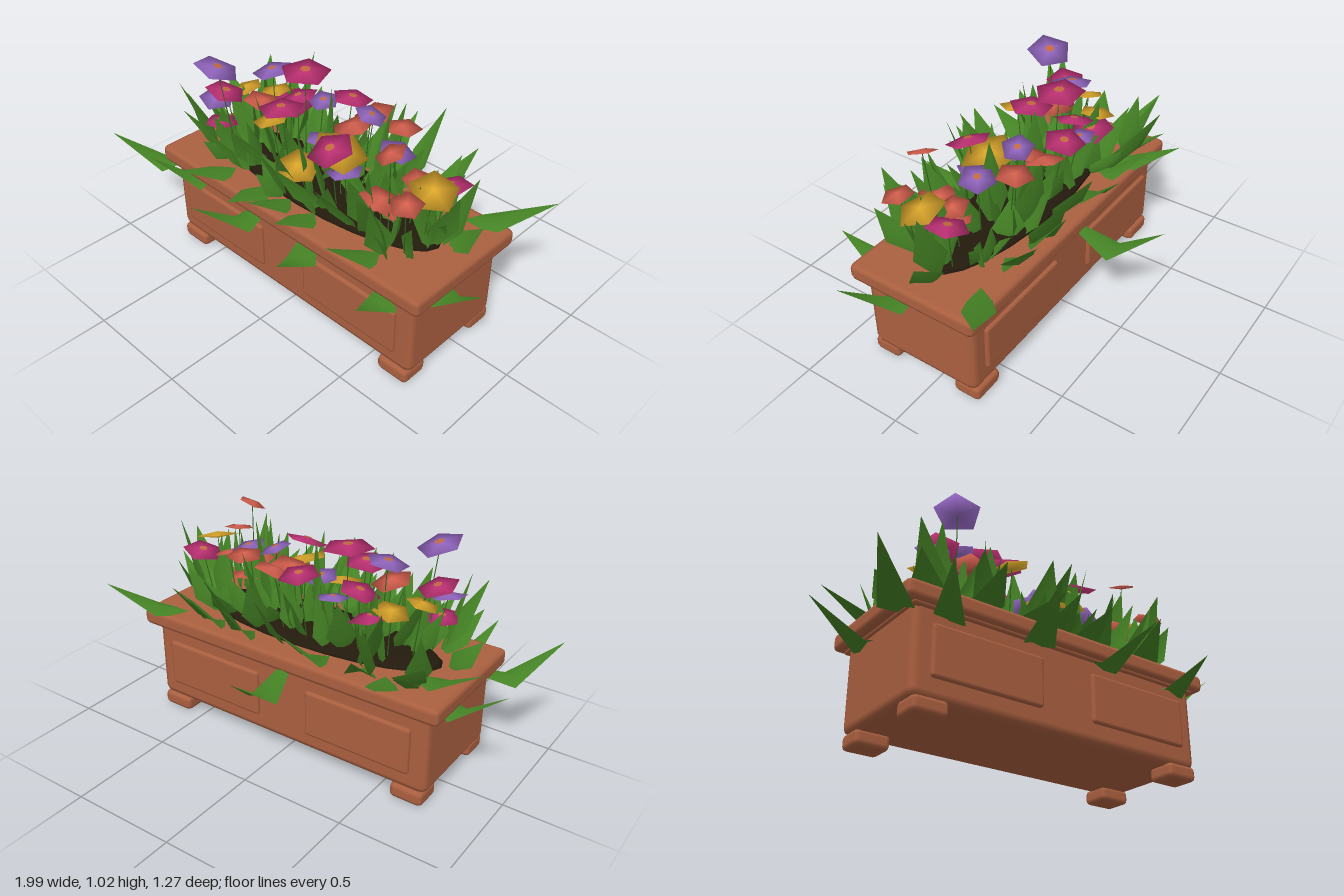
import * as THREE from 'three';
import { RoundedBoxGeometry } from 'three/addons/geometries/RoundedBoxGeometry.js';

const mat = (name, color, side = THREE.FrontSide) => {
  const m = new THREE.MeshStandardMaterial({ color, side });
  m.name = name;
  return m;
};

export function createModel() {
  const model = new THREE.Group();
  model.name = 'flowerPlanter';
  const clay = mat('terracotta', 0xab6040);
  const earth = mat('darkSoil', 0x231a0d);
  const leafMat = mat('leafGreen', 0x478626, THREE.DoubleSide);
  const stemMat = mat('stemGreen', 0x33691d);
  const petals = {
    p: mat('violet', 0x9a6bc9),
    m: mat('magenta', 0xc8347a),
    y: mat('golden', 0xdfa92c),
    c: mat('coral', 0xdb6250),
  };
  const heartMat = mat('flowerHeart', 0xc0693f);

  let seed = 11;
  const rnd = (a = 0, b = 1) => {
    seed = (seed * 16807) % 2147483647;
    return a + (b - a) * (seed / 2147483647);
  };
  const add = (name, geo, material, x, y, z, parent = model) => {
    const m = new THREE.Mesh(geo, material);
    m.name = name;
    m.position.set(x, y, z);
    parent.add(m);
    return m;
  };
  const block = (name, w, h, d, r, x, y, z) =>
    add(name, new RoundedBoxGeometry(w, h, d, 1, r), clay, x, y, z);

  // Trough, rim, panels and feet
  const CZ = 0.06;
  block('troughBody', 1.48, 0.4, 0.56, 0.035, 0, 0.26, CZ);
  block('rimUnderside', 1.5, 0.06, 0.59, 0.012, 0, 0.46, CZ);
  block('rim', 1.585, 0.08, 0.642, 0.024, 0, 0.482, CZ);
  for (const sx of [-1, 1]) {
    for (const sz of [-1, 1]) {
      block('sidePanel', 0.53, 0.225, 0.04, 0.014, sx * 0.395, 0.26, CZ + sz * 0.277);
      block('foot', 0.16, 0.07, 0.135, 0.022, sx * 0.65, 0.035, CZ + sz * 0.222);
    }
  }

  // Soil mound
  add('soil', new THREE.SphereGeometry(1, 24, 12), earth, 0, 0.52, CZ).scale.set(0.64, 0.05, 0.2);

  // Leaves: folded diamond blades collected in one geometry
  const pos = [];
  const idx = [];
  const V = (x, y, z) => new THREE.Vector3(x, y, z);
  const blade = (root, mid, tip, half, side) => {
    const n = pos.length / 3;
    const normal = side.clone().cross(tip.clone().sub(root)).normalize();
    const rib = mid.clone().addScaledVector(normal, -half * 0.3);
    const left = mid.clone().addScaledVector(side, -half);
    const right = mid.clone().addScaledVector(side, half);
    for (const p of [root, left, rib, right, tip]) pos.push(p.x, p.y, p.z);
    idx.push(n, n + 2, n + 1, n, n + 3, n + 2, n + 1, n + 2, n + 4, n + 2, n + 3, n + 4);
  };

  // Broad upright tufts, leaning away from the middle
  for (let t = 0; t < 18; t++) {
    const cx = -0.58 + (1.16 * t) / 17;
    const cz = CZ + [-0.13, 0.13, 0][t % 3] + rnd(-0.03, 0.03);
    for (let k = 0; k < 4; k++) {
      const root = V(cx + rnd(-0.05, 0.05), 0.5, cz + rnd(-0.04, 0.04));
      const h = rnd(0.14, 0.37);
      const out = (cz - CZ) * rnd(0, 1.4) + rnd(-0.05, 0.05);
      const tip = V(root.x + rnd(-0.1, 0.1) + cx * 0.12, 0.5 + h, root.z + out);
      const mid = root.clone().lerp(tip, 0.38);
      const a = rnd(-1.4, 1.4);
      blade(root, mid, tip, rnd(0.05, 0.075), V(Math.cos(a), 0, Math.sin(a)));
    }
  }
  // Tall accent blades: tip x, y, z
  for (const [x, y, z] of [
    [-0.4, 0.88, -0.1], [-0.3, 0.92, 0.2], [-0.03, 0.98, 0], [0.12, 0.9, 0.28], [0.22, 0.93, -0.2],
    [0.3, 1.0, 0], [0.42, 0.9, 0.26], [0.76, 0.9, 0.0], [-0.5, 0.85, -0.36], [0.3, 0.86, -0.38],
    [-0.8, 0.68, 0.1], [0.8, 0.68, 0], [-0.7, 0.72, 0.3], [0.68, 0.78, 0.3], [-0.1, 0.83, 0.39],
    [-0.45, 0.76, 0.38], [0.5, 0.75, -0.36], [0.05, 0.8, -0.34],
  ]) {
    const root = V(x * 0.82, 0.5, CZ + (z - CZ) * 0.5);
    const tip = V(x, y, z);
    blade(root, root.clone().lerp(tip, 0.4), tip, 0.075, V(0.85, 0, 0.5));
  }
  // Overhanging leaves dip past the rim and turn up: root x, z, then tip x, y, z
  for (const [rx, rz, x, y, z] of [
    [-0.5, 0.0, -1.0, 0.57, -0.07], [-0.6, 0.14, -1.0, 0.56, 0.51], [-0.45, -0.06, -0.6, 0.64, -0.43],
    [-0.35, -0.06, -0.45, 0.68, -0.36], [-0.02, -0.12, -0.06, 0.58, -0.64], [-0.22, -0.06, -0.1, 0.72, -0.39],
    [0.2, -0.08, 0.26, 0.74, -0.35], [0.5, -0.1, 0.91, 0.66, -0.37], [0.5, 0.08, 0.99, 0.6, 0.24],
    [0.56, 0.18, 0.64, 0.52, 0.56], [0.08, 0.18, 0.27, 0.55, 0.62], [-0.14, 0.18, -0.25, 0.57, 0.63],
    [-0.38, 0.18, -0.45, 0.62, 0.54], [-0.5, 0.16, -0.68, 0.57, 0.52], [0.5, 0.18, 0.42, 0.66, 0.5],
    [-0.04, 0.18, -0.04, 0.64, 0.5], [0.38, -0.08, 0.44, 0.7, -0.33], [-0.2, 0.18, -0.14, 0.6, 0.52],
    [0.1, 0.18, 0.13, 0.62, 0.5], [-0.5, -0.02, -0.92, 0.68, -0.15],
  ]) {
    const flat = V(x - rx, 0, z - rz);
    const len = flat.length();
    flat.divideScalar(len);
    const low = len > 0.37 && y < 0.63;
    const mid = V(x, low ? 0.385 : 0.53, z).addScaledVector(flat, -Math.min(0.23, len * 0.5));
    blade(V(rx, 0.5, rz), mid, V(x, y, z), 0.07, V(flat.z, 0, -flat.x));
  }
  const leafGeo = new THREE.BufferGeometry();
  leafGeo.setAttribute('position', new THREE.Float32BufferAttribute(pos, 3));
  leafGeo.setIndex(idx);
  leafGeo.computeVertexNormals();
  add('leaves', leafGeo, leafMat, 0, 0, 0);

  // Five-sided blossoms on thin stems: colour, x, y, z, radius
  const bloom = new THREE.SphereGeometry(1, 5, 2);
  const heart = new THREE.CircleGeometry(0.22, 6).rotateX(-Math.PI / 2);
  const up = V(0, 1, 0);
  for (const [c, x, y, z, r] of [
    ['p', -0.5, 0.99, 0.24, 0.1], ['p', -0.37, 0.95, 0.03, 0.09], ['m', -0.2, 0.99, -0.01, 0.11],
    ['m', -0.2, 0.87, 0.14, 0.1], ['m', -0.04, 0.87, -0.14, 0.09], ['m', 0.17, 0.86, 0.21, 0.1],
    ['m', 0.61, 0.78, -0.02, 0.09], ['m', -0.54, 0.83, 0.17, 0.09], ['y', 0.62, 0.82, 0.1, 0.1],
    ['y', -0.54, 0.8, 0.04, 0.07], ['y', -0.01, 0.7, 0.23, 0.1], ['y', 0.14, 0.8, 0.13, 0.12],
    ['y', -0.19, 0.85, 0.21, 0.08], ['y', -0.45, 0.78, -0.06, 0.08], ['c', 0.28, 0.87, -0.11, 0.08],
    ['c', 0.08, 0.83, -0.02, 0.1], ['c', -0.35, 0.83, 0.11, 0.09], ['c', 0.48, 0.98, 0.2, 0.065],
    ['c', 0.6, 0.82, 0.24, 0.07], ['c', 0.43, 0.66, 0.1, 0.09], ['p', 0.16, 0.91, -0.04, 0.07],
    ['p', 0.36, 0.85, 0.02, 0.08], ['p', -0.2, 0.8, -0.12, 0.07], ['p', -0.58, 0.79, 0.19, 0.08],
    ['p', 0.2, 0.74, 0.16, 0.08], ['m', -0.37, 0.74, -0.08, 0.1], ['p', 0.0, 0.77, 0.08, 0.08],
    ['m', -0.55, 0.68, 0.2, 0.08], ['c', 0.1, 0.85, -0.13, 0.09], ['c', 0.42, 0.72, 0.18, 0.09],
    ['c', 0.5, 0.78, 0.04, 0.07], ['m', -0.28, 0.82, -0.04, 0.09],
  ]) {
    const flower = new THREE.Group();
    flower.name = 'flower';
    flower.position.set(x, y, z);
    flower.rotation.set(rnd(-0.3, 0.35), 0, rnd(-0.35, 0.3));
    const head = add('blossom', bloom, petals[c], 0, 0, 0, flower);
    head.scale.set(r * 1.06, r * 0.16, r * 1.06);
    head.rotation.y = rnd(0, 6);
    // Only the violet and magenta blossoms show a contrasting heart
    if (c === 'p' || c === 'm') {
      add('flowerHeart', heart, heartMat, 0, r * 0.165, 0, flower).scale.setScalar(r);
    }
    model.add(flower);

    const foot = V(x * 0.93, 0.53, CZ + (z - CZ) * 0.7);
    const dir = V(x, y, z).sub(foot);
    const centre = foot.clone().addScaledVector(dir, 0.5);
    const stem = add('stem', new THREE.CylinderGeometry(0.002, 0.003, dir.length(), 5), stemMat,
      centre.x, centre.y, centre.z);
    stem.quaternion.setFromUnitVectors(up, dir.normalize());
  }
  return model;
}
